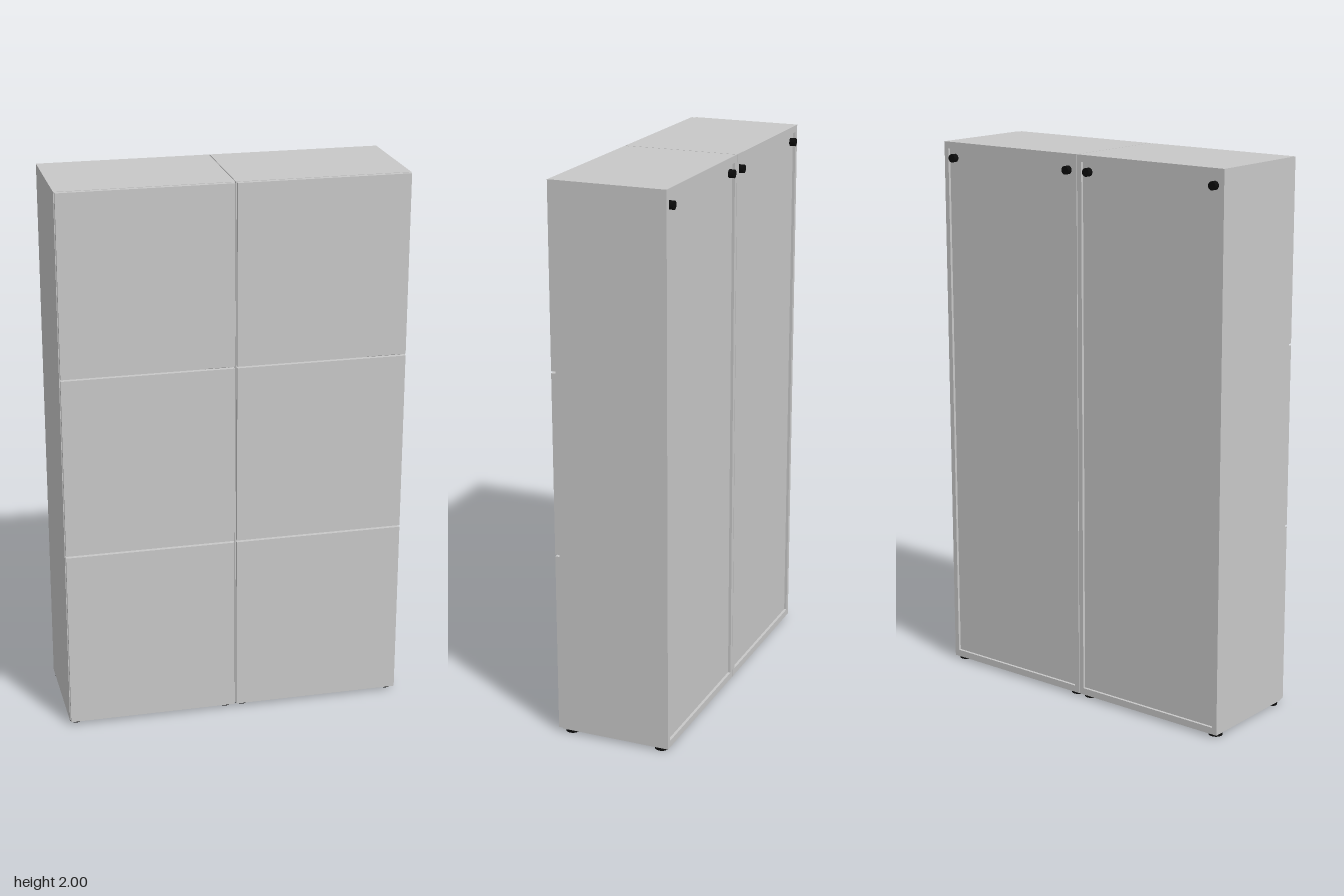
import * as THREE from 'three';

export function createModel() {
  const model = new THREE.Group();
  model.name = 'doubleCabinet';
  const grey = new THREE.MeshStandardMaterial({ color: 0xc8c8c8 });
  grey.name = 'light grey';
  const black = new THREE.MeshStandardMaterial({ color: 0x0c0c0c });
  black.name = 'black';

  // Box given by its two opposite corners
  const box = (parent, name, x0, x1, y0, y1, z0, z1) => {
    const mesh = new THREE.Mesh(new THREE.BoxGeometry(x1 - x0, y1 - y0, z1 - z0), grey);
    mesh.position.set((x0 + x1) / 2, (y0 + y1) / 2, (z0 + z1) / 2);
    mesh.name = name;
    parent.add(mesh);
  };
  const disc = (parent, name, radius, height, x, y, z) => {
    const mesh = new THREE.Mesh(new THREE.CylinderGeometry(radius, radius, height, 20), black);
    mesh.position.set(x, y, z);
    mesh.name = name;
    parent.add(mesh);
    return mesh;
  };

  const IN = 0.0015, OUT = 0.62, BASE = 0.012, TOP = 2;
  const BACK = -0.207, FRONT = 0.2, SIDE = 0.018, SLAB = 0.025;

  for (const s of [-1, 1]) {
    const cabinet = new THREE.Group();
    cabinet.name = s > 0 ? 'leftCabinet' : 'rightCabinet';
    model.add(cabinet);
    const x0 = s > 0 ? IN : -OUT;
    const x1 = s > 0 ? OUT : -IN;

    // Carcass: slabs capping the side walls, and a recessed back
    box(cabinet, 'topPanel', x0, x1, TOP - SLAB, TOP, BACK, FRONT);
    box(cabinet, 'bottomPanel', x0, x1, BASE, BASE + SLAB, BACK, FRONT);
    box(cabinet, 'sidePanel', x0, x0 + SIDE, BASE + SLAB, TOP - SLAB, BACK, FRONT);
    box(cabinet, 'sidePanel', x1 - SIDE, x1, BASE + SLAB, TOP - SLAB, BACK, FRONT);
    box(cabinet, 'backPanel', x0 + SIDE, x1 - SIDE, BASE + SLAB, TOP - SLAB, BACK + 0.01, BACK + 0.018);

    // Three door fronts with narrow gaps
    for (const [y0, y1] of [[0.014, 0.674], [0.681, 1.339], [1.346, 1.999]]) {
      box(cabinet, 'doorFront', x0 + 0.0025, x1 - 0.0025, y0, y1, FRONT + 0.001, 0.217);
    }

    // Round feet under the corners
    for (const x of [0.031, 0.593]) {
      for (const z of [-0.173, 0.173]) disc(cabinet, 'foot', 0.025, BASE, s * x, BASE / 2, z);
    }
    // Wall spacers at the upper back corners
    for (const x of [0.046, 0.577]) {
      disc(cabinet, 'wallSpacer', 0.015, 0.02, s * x, 1.942, -0.207).rotation.x = Math.PI / 2;
    }
  }
  return model;
}
